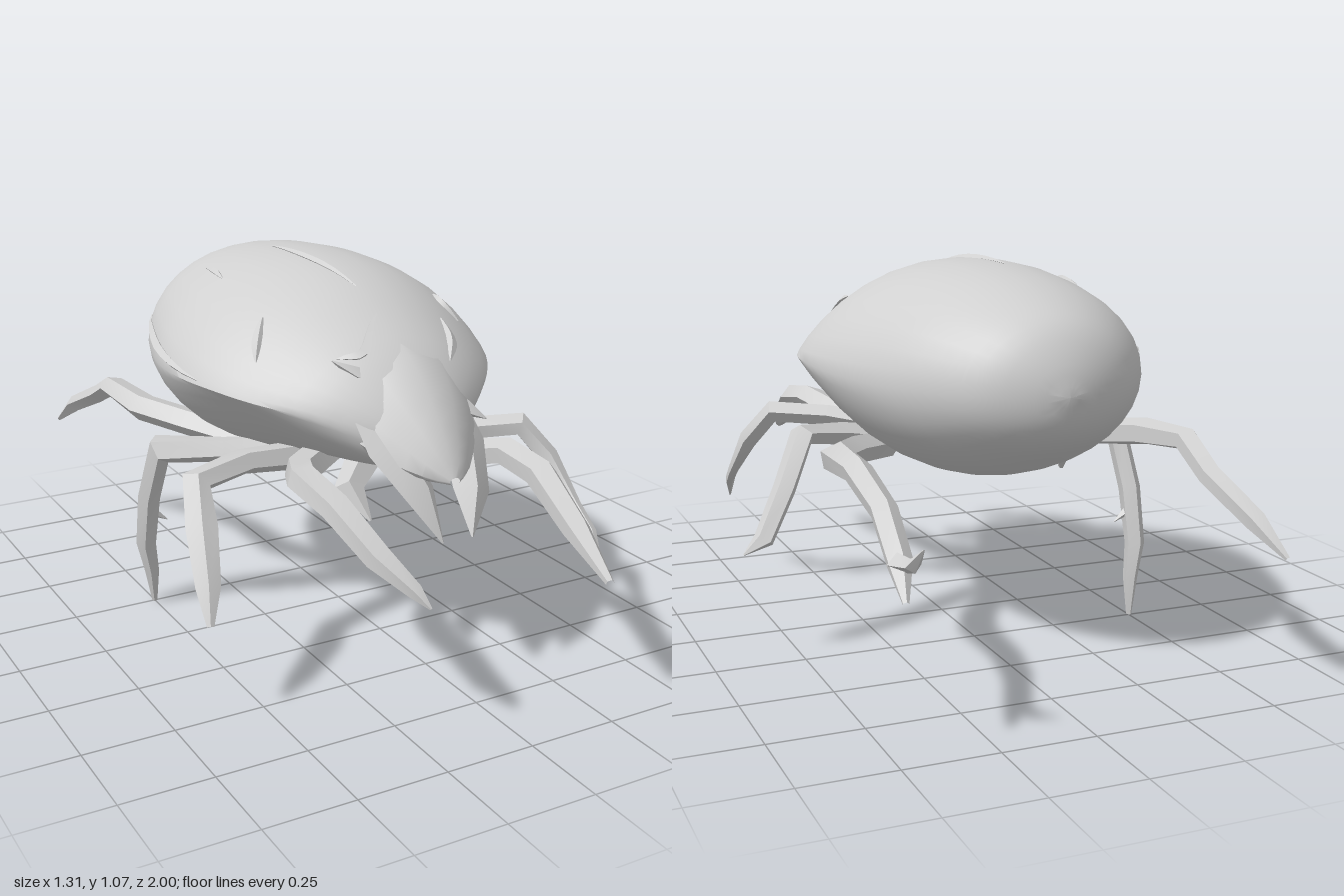
import * as THREE from 'three';
import { toCreasedNormals } from 'three/addons/utils/BufferGeometryUtils.js';

const grey = new THREE.MeshStandardMaterial({ color: 0xd0d0d0 });
grey.name = 'chitin grey';
const V = (x, y, z) => new THREE.Vector3(x, y, z);

// Joins a row of equal closed rings into a surface
function skin(rings, crease) {
  const n = rings[0].length, index = [];
  for (let i = 0; i < rings.length - 1; i++) {
    for (let j = 0; j < n; j++) {
      const a = i * n + j, b = i * n + (j + 1) % n;
      index.push(a, b, b + n, a, b + n, a + n);
    }
  }
  const geo = new THREE.BufferGeometry().setFromPoints(rings.flat());
  geo.setIndex(index);
  return toCreasedNormals(geo, crease);
}

// Shell surface from stations [z, half width, top y, rim y, bottom y, rim sharpness], back to front.
// Returns a function of u (back to front) and t (angle around, 0 at the left rim).
function shellSurface(stations, cx) {
  const upper = new THREE.CatmullRomCurve3(stations.map(s => V(s[0], s[1], s[2])), false, 'catmullrom');
  const lower = new THREE.CatmullRomCurve3(stations.map(s => V(s[3], s[4], s[5])), false, 'catmullrom');
  return (u, t) => {
    const a = upper.getPoint(u), b = lower.getPoint(u), s = Math.sin(t);
    const y = s >= 0
      ? b.x + (a.z - b.x) * Math.pow(s, 1 + (b.z - 1) * 0.7)
      : b.x - (b.x - b.y) * Math.pow(-s, b.z);
    return V(cx + Math.max(a.y, 0.002) * Math.cos(t), y, a.x);
  };
}

function shell(surface, steps, sides) {
  return skin(Array.from({ length: steps + 1 }, (_, i) =>
    Array.from({ length: sides }, (_, j) => surface(i / steps, j / sides * Math.PI * 2))), 0.8);
}

// Tapered angular limb through points [x, y, z, radius]
function limb(points, sides = 5, flatness = 0.8) {
  const p = points.map(q => V(q[0], q[1], q[2]));
  let side = null;
  const rings = p.map((c, i) => {
    const t = p[Math.min(i + 1, p.length - 1)].clone().sub(p[Math.max(i - 1, 0)]).normalize();
    side = side || V(0.1, 1, 0.2).cross(t);
    side.addScaledVector(t, -side.dot(t)).normalize();
    const nrm = t.clone().cross(side);
    return Array.from({ length: sides }, (_, j) => {
      const a = j / sides * Math.PI * 2, r = points[i][3];
      return c.clone().addScaledVector(side, r * Math.cos(a)).addScaledVector(nrm, r * flatness * Math.sin(a));
    });
  });
  return skin(rings, 0.6);
}

// Thin raised split on a shell, through [fraction of half width, z]
function ridge(surface, marks, radius) {
  const path = new THREE.CatmullRomCurve3(marks.map(m => V(m[0], 0, m[1])));
  const points = path.getPoints(8).map((m, i) => {
    let lo = 0, hi = 1;
    for (let k = 0; k < 20; k++) {
      const mid = (lo + hi) / 2;
      if (surface(mid, 0).z < m.z) lo = mid; else hi = mid;
    }
    const q = surface(lo, Math.acos(m.x));
    return [q.x, q.y, q.z, 0.002 + radius * Math.sin(i / 8 * Math.PI)];
  });
  return limb(points, 4);
}

export function createModel() {
  const group = new THREE.Group();
  const add = (name, geo) => {
    const mesh = new THREE.Mesh(geo, grey);
    mesh.name = name;
    group.add(mesh);
  };

  // Domed body with a rim that sharpens towards the front
  const body = shellSurface([
    [-0.73, 0.00, 0.78, 0.78, 0.78, 1.0],
    [-0.71, 0.09, 0.86, 0.78, 0.70, 1.0],
    [-0.66, 0.19, 0.94, 0.78, 0.64, 1.0],
    [-0.58, 0.27, 0.99, 0.78, 0.59, 1.0],
    [-0.45, 0.355, 1.035, 0.78, 0.53, 1.05],
    [-0.30, 0.41, 1.06, 0.78, 0.49, 1.2],
    [-0.13, 0.455, 1.07, 0.785, 0.48, 1.4],
    [0.04, 0.465, 1.06, 0.79, 0.51, 1.7],
    [0.18, 0.43, 1.025, 0.785, 0.54, 2.0],
    [0.30, 0.365, 0.97, 0.77, 0.56, 2.0],
    [0.42, 0.265, 0.895, 0.75, 0.58, 1.6],
    [0.51, 0.15, 0.80, 0.71, 0.60, 1.2],
    [0.57, 0.04, 0.70, 0.67, 0.62, 1.0],
  ], -0.05);
  add('body', shell(body, 36, 32));

  // Faceted, pointed head shield
  add('headShield', shell(shellSurface([
    [0.32, 0.17, 0.94, 0.76, 0.60, 1.0],
    [0.42, 0.195, 0.90, 0.73, 0.60, 1.4],
    [0.51, 0.17, 0.835, 0.68, 0.60, 1.5],
    [0.59, 0.11, 0.75, 0.64, 0.59, 1.4],
    [0.645, 0.06, 0.675, 0.62, 0.60, 1.2],
    [0.675, 0.015, 0.62, 0.61, 0.60, 1.0],
  ], -0.035), 8, 12));

  // Cheek blades and mouth feelers hanging below the head
  add('rightCheekBlade', limb([[-0.17, 0.79, 0.43, 0.06], [-0.14, 0.67, 0.52, 0.08], [-0.1, 0.57, 0.61, 0.06], [-0.07, 0.45, 0.68, 0.003]], 4, 0.6));
  add('leftCheekBlade', limb([[0.1, 0.76, 0.42, 0.045], [0.09, 0.66, 0.52, 0.065], [0.06, 0.55, 0.61, 0.055], [0.02, 0.45, 0.68, 0.003]], 4, 0.6));
  add('leftCheekSpur', limb([[0.06, 0.76, 0.44, 0.04], [0.12, 0.73, 0.48, 0.03], [0.17, 0.7, 0.51, 0.002]], 4));
  add('rightCheekSpur', limb([[-0.13, 0.83, 0.42, 0.03], [-0.18, 0.85, 0.42, 0.025], [-0.235, 0.885, 0.39, 0.002]], 4));
  add('rightFeeler', limb([[-0.1, 0.6, 0.34, 0.05], [-0.2, 0.54, 0.42, 0.04], [-0.18, 0.47, 0.5, 0.004]], 4));
  add('leftFeeler', limb([[0.02, 0.6, 0.34, 0.05], [0.13, 0.57, 0.42, 0.04], [0.11, 0.5, 0.52, 0.004]], 4));

  // Four legs on each side, ordered front to back
  const legs = {
    rightLeg1: [[-0.15, 0.57, 0.2, 0.05], [-0.3, 0.58, 0.34, 0.05], [-0.35, 0.6, 0.45, 0.05], [-0.335, 0.57, 0.6, 0.047], [-0.295, 0.48, 0.74, 0.042], [-0.25, 0.42, 0.84, 0.024], [-0.23, 0.385, 0.88, 0.004]],
    leftLeg1: [[0.08, 0.57, 0.24, 0.05], [0.2, 0.56, 0.38, 0.05], [0.25, 0.59, 0.5, 0.048], [0.26, 0.57, 0.64, 0.048], [0.245, 0.48, 0.82, 0.04], [0.215, 0.405, 1.0, 0.012]],
    rightLeg2: [[-0.2, 0.55, 0.15, 0.05], [-0.4, 0.58, 0.2, 0.042], [-0.57, 0.57, 0.26, 0.043], [-0.6, 0.48, 0.36, 0.045], [-0.63, 0.36, 0.46, 0.035], [-0.65, 0.28, 0.515, 0.01]],
    leftLeg2: [[0.1, 0.55, 0.16, 0.05], [0.27, 0.58, 0.25, 0.04], [0.42, 0.59, 0.32, 0.042], [0.48, 0.5, 0.38, 0.038], [0.51, 0.38, 0.48, 0.02], [0.5, 0.33, 0.57, 0.018], [0.485, 0.26, 0.64, 0.003]],
    rightLeg3: [[-0.2, 0.54, 0.02, 0.05], [-0.35, 0.53, -0.05, 0.045], [-0.52, 0.54, -0.11, 0.055], [-0.53, 0.38, -0.18, 0.042], [-0.53, 0.22, -0.22, 0.038], [-0.51, 0.12, -0.235, 0.028], [-0.5, 0.01, -0.25, 0.01]],
    leftLeg3: [[0.12, 0.54, 0.02, 0.05], [0.32, 0.58, -0.02, 0.042], [0.45, 0.6, -0.09, 0.042], [0.52, 0.47, -0.15, 0.038], [0.59, 0.34, -0.18, 0.034], [0.65, 0.305, -0.19, 0.003]],
    rightLeg4: [[-0.24, 0.54, -0.02, 0.05], [-0.38, 0.57, -0.22, 0.05], [-0.47, 0.59, -0.36, 0.05], [-0.49, 0.605, -0.56, 0.04], [-0.475, 0.54, -0.71, 0.037], [-0.5, 0.46, -0.89, 0.034], [-0.53, 0.385, -0.985, 0.008]],
    leftLeg4: [[0.18, 0.54, -0.02, 0.05], [0.35, 0.57, -0.2, 0.05], [0.43, 0.59, -0.34, 0.05], [0.45, 0.605, -0.56, 0.04], [0.435, 0.54, -0.71, 0.037], [0.455, 0.46, -0.87, 0.034], [0.475, 0.39, -0.97, 0.008]],
  };
  for (const [name, points] of Object.entries(legs)) add(name, limb(points));

  // Small claws
  add('leftLeg4Claw', limb([[0.46, 0.46, -0.88, 0.03], [0.45, 0.47, -0.95, 0.022], [0.44, 0.52, -0.995, 0.002]], 4));
  add('rightLeg3Claw', limb([[-0.52, 0.32, -0.2, 0.02], [-0.47, 0.285, -0.2, 0.002]], 4));

  // Thin ridges along the splits in the shell
  const splits = {
    backRidge: [[[-0.11, -0.22], [-0.07, 0], [0, 0.19]], 0.01],
    shoulderRidge: [[[-0.56, -0.3], [-0.55, -0.2], [-0.56, -0.12]], 0.01],
    flankRidge: [[[-0.97, -0.47], [-0.98, -0.15], [-0.99, 0.12]], 0.014],
    rightFrontRidge: [[[-0.6, 0.15], [-0.72, 0.2], [-0.82, 0.24]], 0.014],
    rightBrowRidge: [[[-0.55, 0.38], [-0.35, 0.4], [0, 0.3]], 0.016],
    leftFrontRidge: [[[0.65, 0.12], [0.67, 0.16], [0.77, 0.21]], 0.014],
    leftBrowRidge: [[[0.58, 0.27], [0.62, 0.36], [0.6, 0.43]], 0.016],
  };
  for (const [name, [marks, radius]] of Object.entries(splits)) add(name, ridge(body, marks, radius));

  return group;
}
